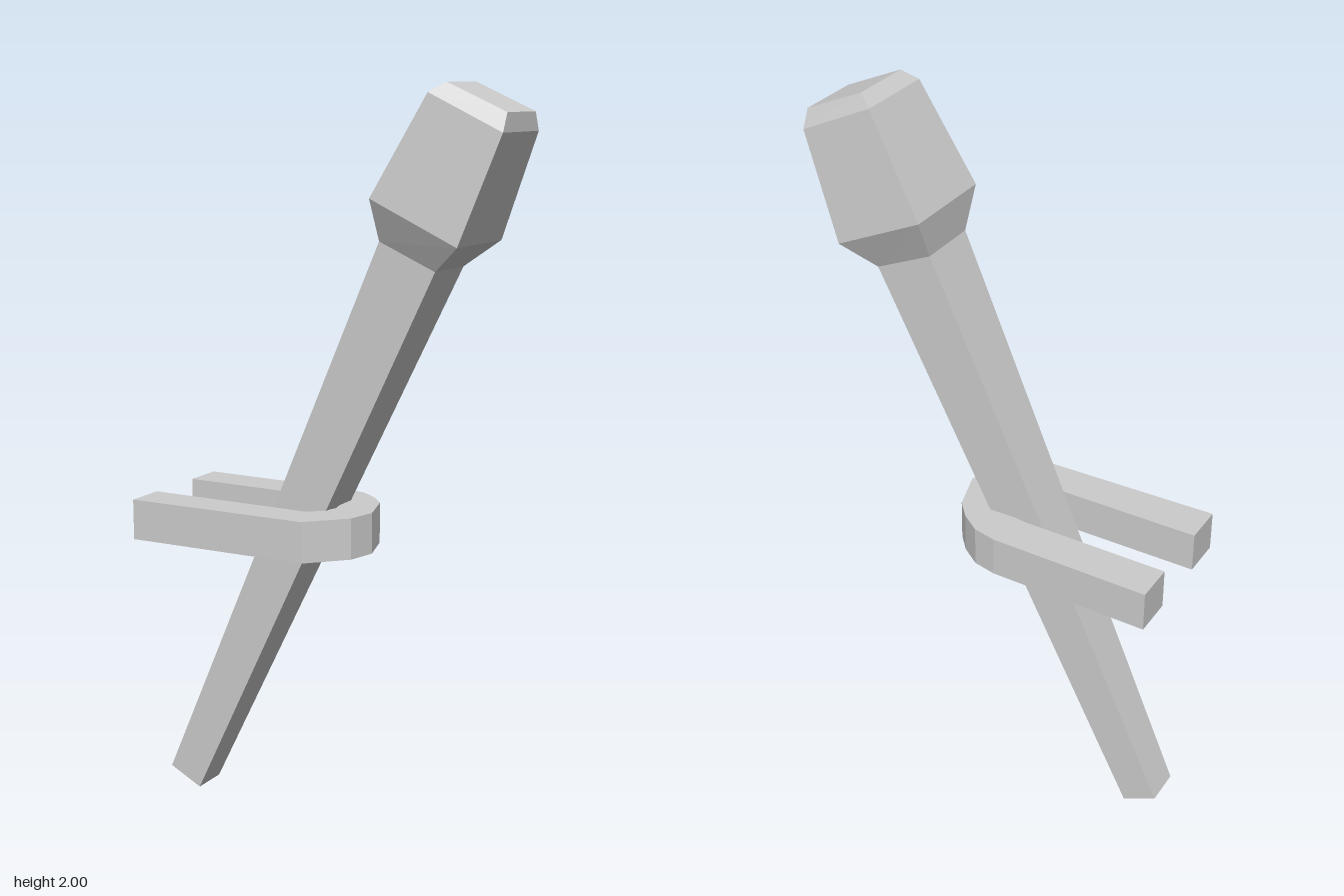
import * as THREE from 'three';

const material = new THREE.MeshStandardMaterial({ color: 0xcccccc, flatShading: true });

// Closed loft through four-sided sections: [xLeft, yLeft, xRight, yRight, zBack, zFront]
function loft(name, sections) {
  const rings = sections.map(([x0, y0, x1, y1, zb, zf]) => [
    [x0, y0, zf], [x1, y1, zf], [x1, y1, zb], [x0, y0, zb],
  ]);
  const positions = [];
  const quad = (a, b, c, d) => positions.push(...a, ...b, ...c, ...a, ...c, ...d);
  for (let r = 0; r < rings.length - 1; r++) {
    const lower = rings[r], upper = rings[r + 1];
    for (let i = 0; i < 4; i++) {
      const j = (i + 1) % 4;
      quad(lower[i], lower[j], upper[j], upper[i]);
    }
  }
  const [a, b, c, d] = rings[0];
  quad(d, c, b, a);
  quad(...rings[rings.length - 1]);
  const geometry = new THREE.BufferGeometry();
  geometry.setAttribute('position', new THREE.Float32BufferAttribute(positions, 3));
  geometry.computeVertexNormals();
  const mesh = new THREE.Mesh(geometry, material);
  mesh.name = name;
  return mesh;
}

// U-shaped wall bracket: plan outline in (x, z), extruded upwards
function createBracket() {
  const outline = [
    [-0.52, 0.202], [0.01, 0.197], [0.105, 0.1], [0.125, 0.02], [0.09, -0.093],
    [0.05, -0.14], [-0.005, -0.18], [-0.07, -0.195], [-0.52, -0.205],
    [-0.52, -0.092], [-0.1, -0.085], [-0.04, -0.075], [0, -0.045],
    [0.015, 0.02], [0, 0.06], [-0.035, 0.093], [-0.52, 0.087],
  ];
  const shape = new THREE.Shape(outline.map(([x, z]) => new THREE.Vector2(x, -z)));
  const geometry = new THREE.ExtrudeGeometry(shape, { depth: 0.112, bevelEnabled: false });
  geometry.rotateX(-Math.PI / 2);
  geometry.translate(0, 0.768, 0);
  const mesh = new THREE.Mesh(geometry, material);
  mesh.name = 'wallBracket';
  return mesh;
}

export function createModel() {
  const group = new THREE.Group();
  group.name = 'wallTorch';

  // Tilted, tapering handle
  const neck = [0.17, 1.605, 0.328, 1.535, -0.095, 0.075];
  group.add(loft('handle', [[-0.52, 0.048, -0.424, 0, -0.062, 0.042], neck]));

  // Flared head with a chamfered tip
  group.add(loft('torchHead', [
    neck,
    [0.167, 1.715, 0.41, 1.602, -0.147, 0.125],
    [0.315, 1.975, 0.516, 1.88, -0.122, 0.102],
    [0.354, 2, 0.516, 1.928, -0.099, 0.078],
  ]));

  group.add(createBracket());
  return group;
}
